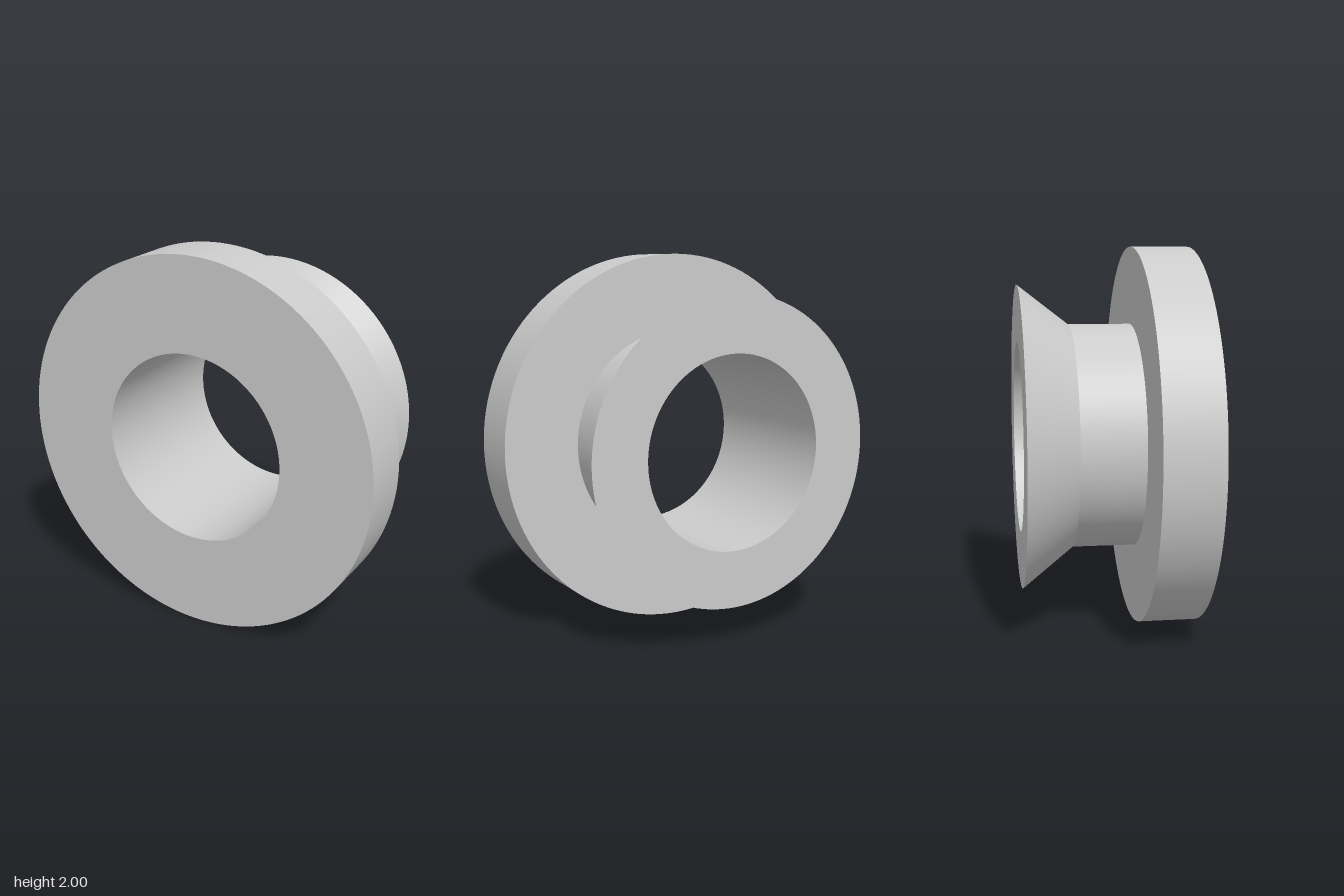
import * as THREE from 'three';
import { mergeGeometries } from 'three/addons/utils/BufferGeometryUtils.js';

const material = new THREE.MeshStandardMaterial({ color: 0xcccccc });

// Revolve a [radius, z] profile about the z axis, keeping each profile corner sharp
function turned(name, profile) {
  const bands = [];
  for (let i = 0; i < profile.length - 1; i++) {
    const ends = [profile[i], profile[i + 1]].map(([r, z]) => new THREE.Vector2(r, z));
    bands.push(new THREE.LatheGeometry(ends, 128));
  }
  const mesh = new THREE.Mesh(mergeGeometries(bands).rotateX(Math.PI / 2), material);
  mesh.name = name;
  return mesh;
}

export function createModel() {
  const bore = 0.505, neck = 0.595, rim = 0.805, flange = 1;
  const back = -0.45, flareStart = -0.18, flangeBack = 0.15, front = 0.45;

  const bushing = new THREE.Group();
  bushing.name = 'flangedBushing';
  bushing.add(
    // Back face and conical flare
    turned('flaredRim', [[bore, back], [rim, back], [neck, flareStart]]),
    // Cylindrical waist
    turned('neck', [[neck, flareStart], [neck, flangeBack]]),
    // Wide front disc
    turned('flange', [[neck, flangeBack], [flange, flangeBack], [flange, front], [bore, front]]),
    // Through hole, facing inward
    turned('bore', [[bore, front], [bore, back]])
  );
  bushing.position.y = flange;

  const model = new THREE.Group();
  model.add(bushing);
  return model;
}
